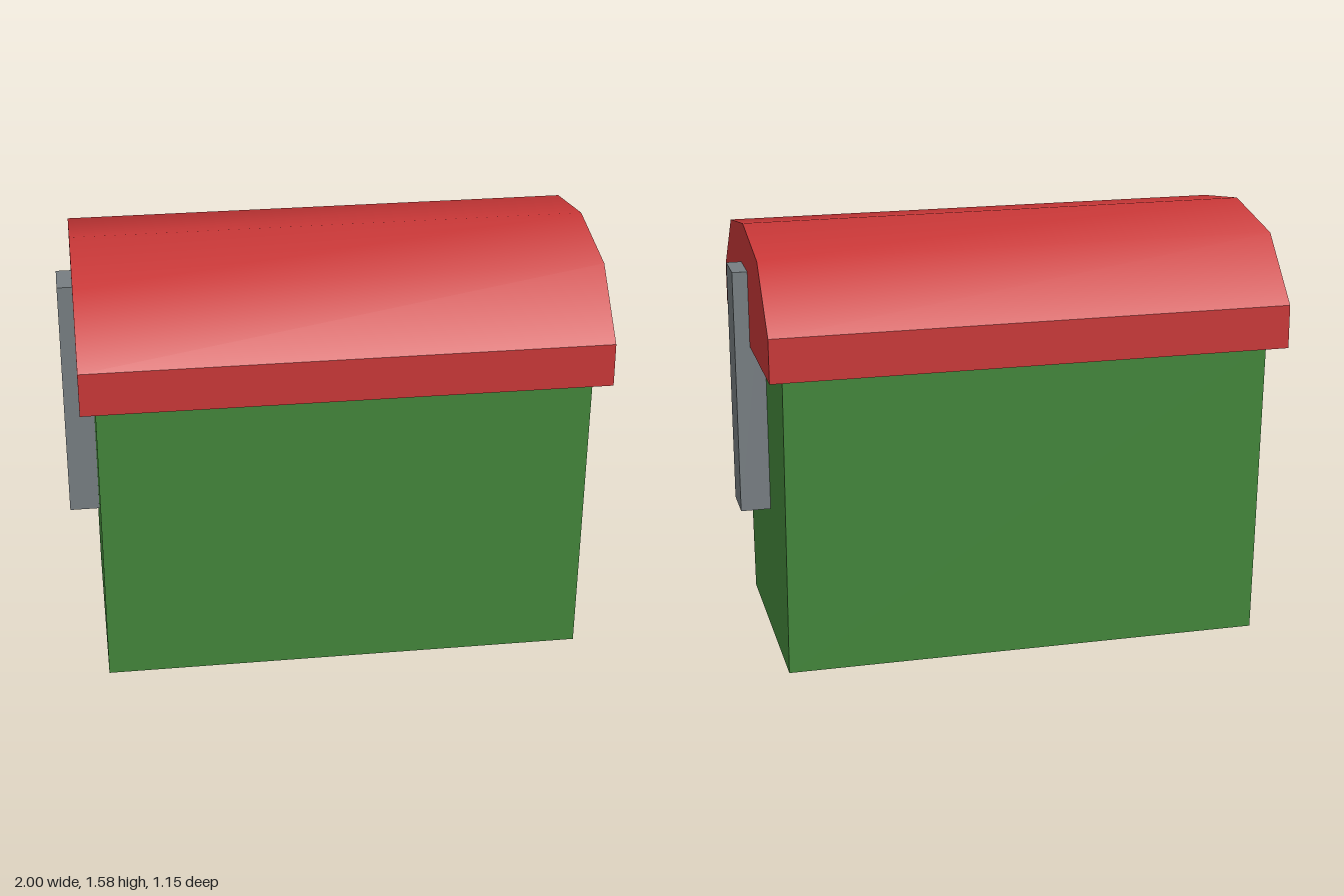
import * as THREE from 'three';
import { toCreasedNormals } from 'three/addons/utils/BufferGeometryUtils.js';

const mat = (name, color, side = THREE.FrontSide) => {
  const m = new THREE.MeshStandardMaterial({ color, side });
  m.name = name;
  return m;
};

export function createModel() {
  const group = new THREE.Group();
  const green = mat('green', 0x44883c, THREE.DoubleSide);
  const red = mat('red', 0xc83737);
  const grey = mat('grey', 0x767d81);
  const add = (name, geometry, material) => {
    const mesh = new THREE.Mesh(geometry, material);
    mesh.name = name;
    group.add(mesh);
    return mesh;
  };

  // Body: four thin walls, front and back leaning outward, open underneath
  const H = 1.14;
  const walls = new THREE.BoxGeometry(1.78, H, 2).translate(0, H / 2, 0);
  const p = walls.attributes.position;
  for (let i = 0; i < p.count; i++) {
    p.setZ(i, Math.sign(p.getZ(i)) * (p.getY(i) > 0.5 ? 0.496 : 0.44));
  }
  // Leave out the top and bottom faces of the box (6 indices per face)
  const index = Array.from(walls.index.array);
  walls.setIndex([...index.slice(0, 12), ...index.slice(24)]);
  walls.clearGroups();
  walls.computeVertexNormals();
  add('body', walls, green);

  // Lid: arched profile along x, softly shaded over the crown
  const half = [[0.575, 1.14], [0.575, 1.3], [0.355, 1.52]];
  const profile = [...half, [0, 1.58], ...half.map(([z, y]) => [-z, y]).reverse()];
  const shape = new THREE.Shape(profile.map(([z, y]) => new THREE.Vector2(z, y)));
  const lid = new THREE.ExtrudeGeometry(shape, { depth: 1.89, bevelEnabled: false });
  lid.translate(0, 0, -0.945).rotateY(Math.PI / 2);
  add('lid', toCreasedNormals(lid, THREE.MathUtils.degToRad(40)), red);

  // Upright bar on each end
  for (const [name, s] of [['leftBar', 1], ['rightBar', -1]]) {
    add(name, new THREE.BoxGeometry(0.11, 0.91, 0.164), grey).position.set(s * 0.945, 0.965, 0);
  }
  return group;
}
